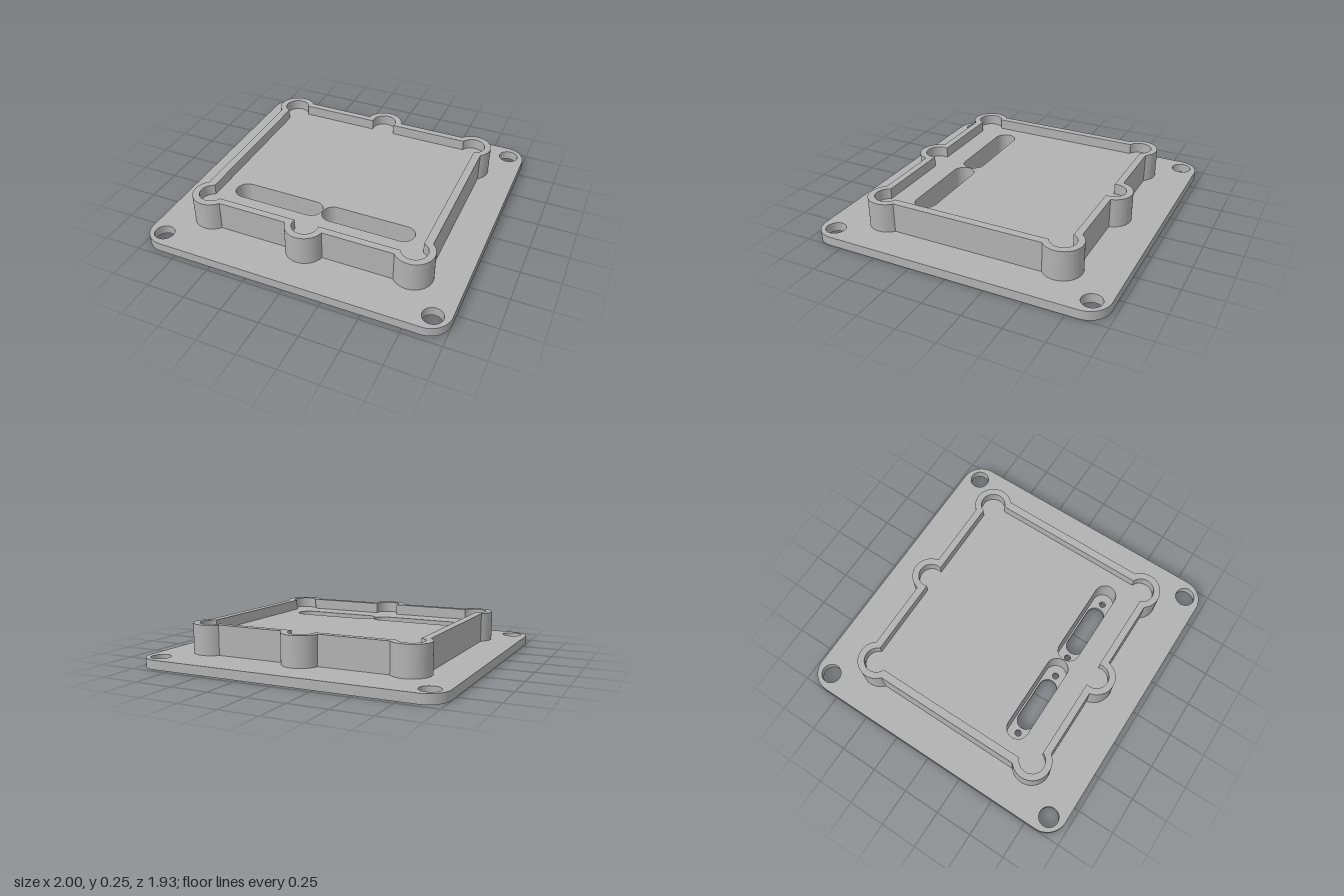
import * as THREE from 'three';
import { toCreasedNormals } from 'three/addons/utils/BufferGeometryUtils.js';

const SKIN = 0.025, PLATE = 0.06, FLOOR = 0.185, TOP = 0.255;   // layer heights
const SLOT_X = 0.31, SLOT_Z = 0.405;

// Shapes are drawn in plan: shape x = model x, shape y = model z.
function circle(x, z, r) {
  return new THREE.Path().absarc(x, z, r, 0, Math.PI * 2);
}

function obround(x, z, halfLength, r) {
  const p = new THREE.Path();
  p.absarc(x + halfLength - r, z, r, -Math.PI / 2, Math.PI / 2);
  p.absarc(x - halfLength + r, z, r, Math.PI / 2, Math.PI * 1.5);
  p.closePath();
  return p;
}

function plateOutline() {
  const s = new THREE.Shape(), r = 0.14, cx = 1 - r, cz = 0.967 - r;
  [[1, 1], [-1, 1], [-1, -1], [1, -1]].forEach(([sx, sz], i) =>
    s.absarc(sx * cx, sz * cz, r, i * Math.PI / 2, (i + 1) * Math.PI / 2));
  s.closePath();
  return s;
}

// Rectangle joined with round lobes at the corners and the front and back middles
function lobedOutline(hx, hz, r) {
  const s = new THREE.Shape(), cx = 0.682, cz = 0.597, mz = 0.65;
  const side = Math.acos((hx - cx) / r);
  const end = Math.asin((hz - cz) / r);
  const mid = Math.asin((hz - mz) / r);
  for (const [k, turn] of [[1, 0], [-1, Math.PI]]) {
    s.absarc(k * cx, k * cz, r, turn - side, turn + Math.PI - end);
    s.absarc(0, k * mz, r, turn + mid, turn + Math.PI - mid);
    s.absarc(-k * cx, k * cz, r, turn + end, turn + Math.PI + side);
  }
  s.closePath();
  return s;
}

function layer(name, shape, holes, y0, y1, material) {
  shape.holes.push(...holes);
  const g = new THREE.ExtrudeGeometry(shape, { depth: y1 - y0, bevelEnabled: false, curveSegments: 24 });
  g.rotateX(Math.PI / 2).translate(0, y1, 0);
  const mesh = new THREE.Mesh(toCreasedNormals(g, 0.5), material);
  mesh.name = name;
  return mesh;
}

export function createModel() {
  const grey = new THREE.MeshStandardMaterial({ color: 0xb2b2b2 });
  grey.name = 'grey';
  const group = new THREE.Group();
  group.name = 'connectorPanel';

  // Mounting holes in the plate corners
  const mounts = () => [-1, 1].flatMap(sx => [-1, 1].map(sz => circle(sx * 0.893, sz * 0.861, 0.064)));
  // Wide recesses around each connector
  const pockets = () => [-1, 1].map(s => obround(s * SLOT_X, SLOT_Z, 0.307, 0.072));
  // Connector openings with a screw hole at either end
  const openings = () => [-1, 1].flatMap(s => [
    obround(s * SLOT_X, SLOT_Z, 0.192, 0.06),
    circle(s * SLOT_X - 0.233, SLOT_Z, 0.021),
    circle(s * SLOT_X + 0.233, SLOT_Z, 0.021),
  ]);

  group.add(
    layer('plateUnderside', plateOutline(), [...mounts(), ...openings()], 0, SKIN, grey),
    layer('basePlate', plateOutline(), [...mounts(), ...pockets()], SKIN, PLATE, grey),
    layer('raisedFloor', lobedOutline(0.763, 0.674, 0.125), pockets(), PLATE, FLOOR, grey),
    layer('rim', lobedOutline(0.763, 0.674, 0.125), [lobedOutline(0.711, 0.628, 0.082)], FLOOR, TOP, grey),
  );
  return group;
}
